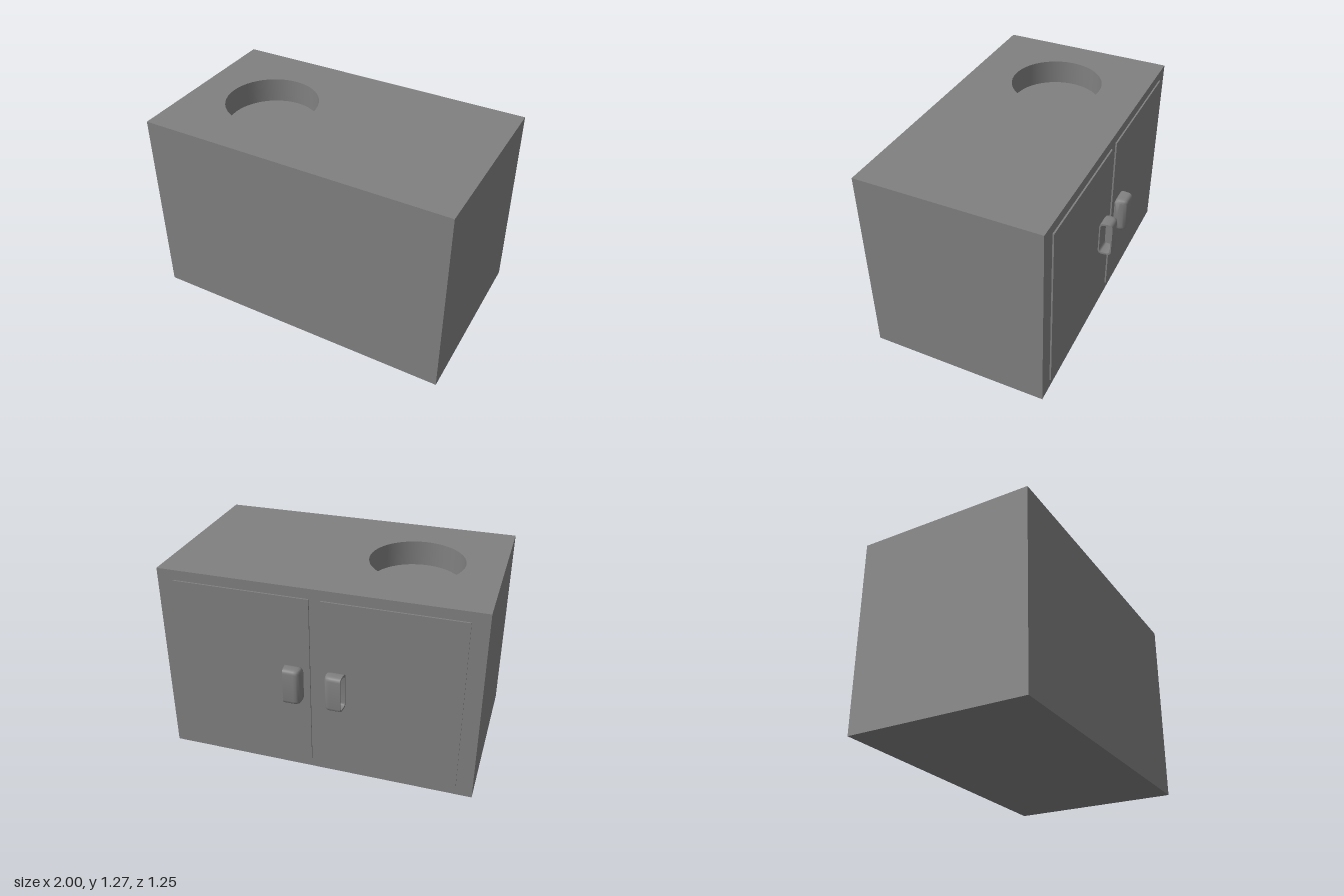
import * as THREE from 'three';
import { toCreasedNormals } from 'three/addons/utils/BufferGeometryUtils.js';

const H = 1.275, D = 1.155, ZC = 0.0475; // cabinet height, depth, centre z
const HOLE = { x: -0.47, z: 0.045, r: 0.297, depth: 0.16 };
const DOOR_Z = -0.54, HANDLE_Y = 0.64;

// Cup handle: rounded rectangles lofted along x, from the pocket's end out over the rim to the closed end
function handleGeometry() {
  // x, inner depth, outer depth, half height, corner radius, rim slant
  const stations = [
    [0.095, 0.035, 0.035, 0, 0, 0],
    [0.095, 0.012, 0.066, 0.1, 0.015, 0],
    [0.19, 0.008, 0.077, 0.108, 0.02, 0.1],
    [0.19, 0, 0.085, 0.12, 0.026, 0.1],
    [0.115, 0, 0.085, 0.12, 0.026, 0],
    [0.098, 0, 0.083, 0.119, 0.026, 0],
    [0.086, 0, 0.076, 0.116, 0.026, 0],
    [0.079, 0.002, 0.062, 0.11, 0.025, 0],
    [0.075, 0.006, 0.045, 0.103, 0.018, 0],
    [0.075, 0.025, 0.025, 0, 0, 0],
  ];
  const pos = [], index = [], arc = 5, n = arc * 4;
  for (const [x, d0, d1, h, r, slant] of stations) {
    for (let c = 0; c < 4; c++) {
      const cd = c === 0 || c === 3 ? d1 - r : d0 + r;
      const cy = c < 2 ? h - r : r - h;
      for (let k = 0; k < arc; k++) {
        const a = (c + k / (arc - 1)) * Math.PI / 2;
        const d = cd + r * Math.cos(a);
        pos.push(x - slant * d, cy + r * Math.sin(a), -d);
      }
    }
  }
  for (let i = 0; i < stations.length - 1; i++) {
    for (let j = 0; j < n; j++) {
      const a = i * n + j, b = i * n + (j + 1) % n;
      index.push(a, a + n, b, b, a + n, b + n);
    }
  }
  const g = new THREE.BufferGeometry();
  g.setAttribute('position', new THREE.Float32BufferAttribute(pos, 3));
  g.setIndex(index);
  return toCreasedNormals(g, 0.7);
}

export function createModel() {
  const model = new THREE.Group();
  model.name = 'cabinet';
  const grey = new THREE.MeshStandardMaterial({ color: 0x808080 });
  grey.name = 'grey';
  const greyInside = grey.clone(); // same grey, seen from inside the recess
  greyInside.side = THREE.BackSide;

  const add = (name, geometry, x, y, z, material = grey) => {
    const mesh = new THREE.Mesh(geometry, material);
    mesh.name = name;
    mesh.position.set(x, y, z);
    model.add(mesh);
    return mesh;
  };

  // Body: a box without its top face
  const box = new THREE.BoxGeometry(2, H, D);
  const faces = Array.from(box.index.array);
  faces.splice(12, 6);
  box.setIndex(faces);
  box.clearGroups();
  add('body', box, 0, H / 2, ZC);

  // Top panel with the round opening
  const top = new THREE.Shape();
  top.moveTo(-1, -D / 2).lineTo(1, -D / 2).lineTo(1, D / 2).lineTo(-1, D / 2).closePath();
  const hole = new THREE.Path();
  hole.absarc(HOLE.x, ZC - HOLE.z, HOLE.r, 0, Math.PI * 2, true);
  top.holes.push(hole);
  add('topPanel', new THREE.ShapeGeometry(top, 24).rotateX(-Math.PI / 2), 0, H, ZC);

  // Recess wall and floor
  const wall = new THREE.CylinderGeometry(HOLE.r, HOLE.r, HOLE.depth, 48, 1, true).rotateY(Math.PI / 2);
  add('basinWall', wall, HOLE.x, H - HOLE.depth / 2, HOLE.z, greyInside);
  const floor = new THREE.CircleGeometry(HOLE.r, 48).rotateX(-Math.PI / 2);
  add('basinFloor', floor, HOLE.x, H - HOLE.depth, HOLE.z);

  // Doors and handles on the back, mirrored about the middle
  const door = new THREE.BoxGeometry(0.862, 1.145, 0.012);
  const handle = handleGeometry();
  for (const side of [1, -1]) {
    const label = side > 0 ? 'left' : 'right';
    add(label + 'Door', door, side * 0.466, 0.6375, DOOR_Z + 0.006);
    const pull = add(label + 'Handle', handle, 0, HANDLE_Y, DOOR_Z);
    if (side < 0) pull.rotation.z = Math.PI;
  }
  return model;
}
